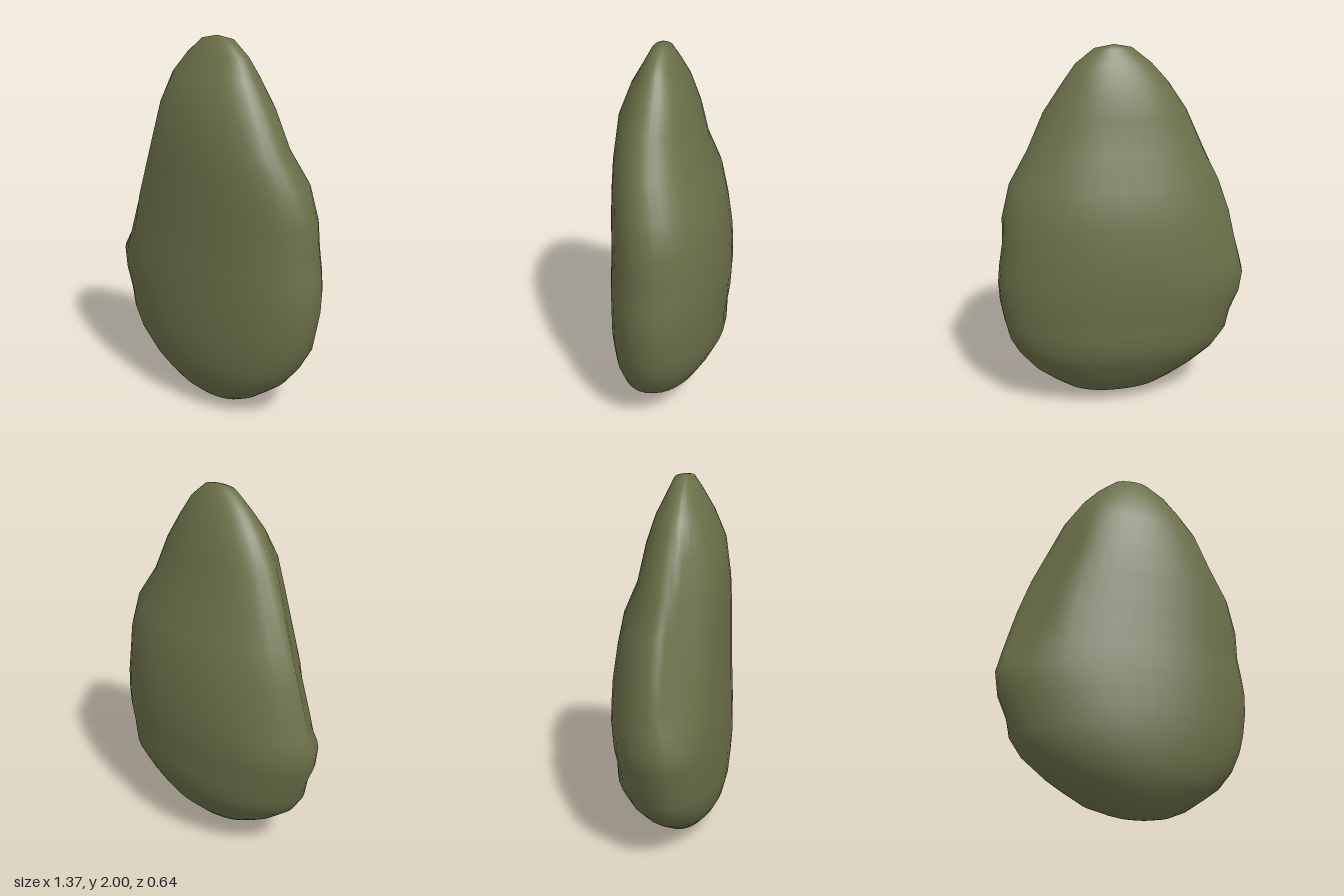
import * as THREE from 'three';

// Cross-sections from bottom to top: [y, xRight-hand min, x max, z front, z back]
const SECTIONS = [
  [0.01, -0.03, 0.14, 0.125, 0.05],
  [0.03, -0.10, 0.23, 0.155, -0.01],
  [0.07, -0.22, 0.32, 0.20, -0.08],
  [0.14, -0.33, 0.42, 0.25, -0.15],
  [0.20, -0.42, 0.50, 0.28, -0.19],
  [0.30, -0.535, 0.58, 0.305, -0.25],
  [0.40, -0.60, 0.63, 0.315, -0.30],
  [0.50, -0.62, 0.655, 0.32, -0.30],
  [0.62, -0.67, 0.675, 0.32, -0.315],
  [0.73, -0.685, 0.68, 0.32, -0.32],
  [0.83, -0.66, 0.67, 0.315, -0.32],
  [0.95, -0.63, 0.65, 0.31, -0.315],
  [1.10, -0.595, 0.645, 0.305, -0.295],
  [1.28, -0.53, 0.60, 0.30, -0.26],
  [1.45, -0.44, 0.50, 0.295, -0.185],
  [1.65, -0.35, 0.41, 0.27, -0.14],
  [1.80, -0.25, 0.31, 0.21, -0.09],
  [1.90, -0.16, 0.24, 0.15, -0.04],
  [1.98, -0.06, 0.14, 0.105, 0.0],
];
const SIDES = 36;
const LEFT_TIP_Z = 0.07;

// One point of a section: four quarter ellipses with offset front and back crests
function sectionPoint([y, x0, x1, zf, zb], angle) {
  const c = Math.cos(angle), s = Math.sin(angle);
  const half = (x1 - x0) / 2;
  const crest = (x0 + x1) / 2 + half * (s > 0 ? -0.07 : 0.15);
  const tipZ = c > 0 ? (zf + zb) / 2 : LEFT_TIP_Z;
  let x = crest + c * (c > 0 ? x1 - crest : crest - x0);
  let z = tipZ + s * (s > 0 ? zf - tipZ : tipZ - zb);

  // Shallow flat chip on one front flank
  if (y > 0.8) {
    const limit = -0.52 + 0.25 * (y - 0.83);
    const excess = limit - (x - z) * Math.SQRT1_2;
    if (excess > 0) {
      x += excess * Math.SQRT1_2;
      z -= excess * Math.SQRT1_2;
    }
  }
  return [x, y, z];
}

function stoneGeometry() {
  const positions = [], index = [];
  for (const section of SECTIONS) {
    for (let j = 0; j < SIDES; j++) {
      positions.push(...sectionPoint(section, (j / SIDES) * Math.PI * 2));
    }
  }
  const bottom = SECTIONS.length * SIDES, top = bottom + 1;
  positions.push(0.05, 0, 0.09, 0.035, 2, 0.055);

  // Skin between sections, then the two end caps
  const last = (SECTIONS.length - 1) * SIDES;
  for (let j = 0; j < SIDES; j++) {
    const k = (j + 1) % SIDES;
    for (let r = 0; r < last; r += SIDES) {
      const a = r + j, b = r + k;
      index.push(a, a + SIDES, b + SIDES, a, b + SIDES, b);
    }
    index.push(bottom, j, k, top, last + k, last + j);
  }

  const geometry = new THREE.BufferGeometry();
  geometry.setAttribute('position', new THREE.Float32BufferAttribute(positions, 3));
  geometry.setIndex(index);
  geometry.computeVertexNormals();
  return geometry;
}

export function createModel() {
  const group = new THREE.Group();
  group.name = 'pebble';
  const stone = new THREE.Mesh(
    stoneGeometry(),
    new THREE.MeshStandardMaterial({ color: 0x6b7049 })
  );
  stone.name = 'stone';
  group.add(stone);
  return group;
}
